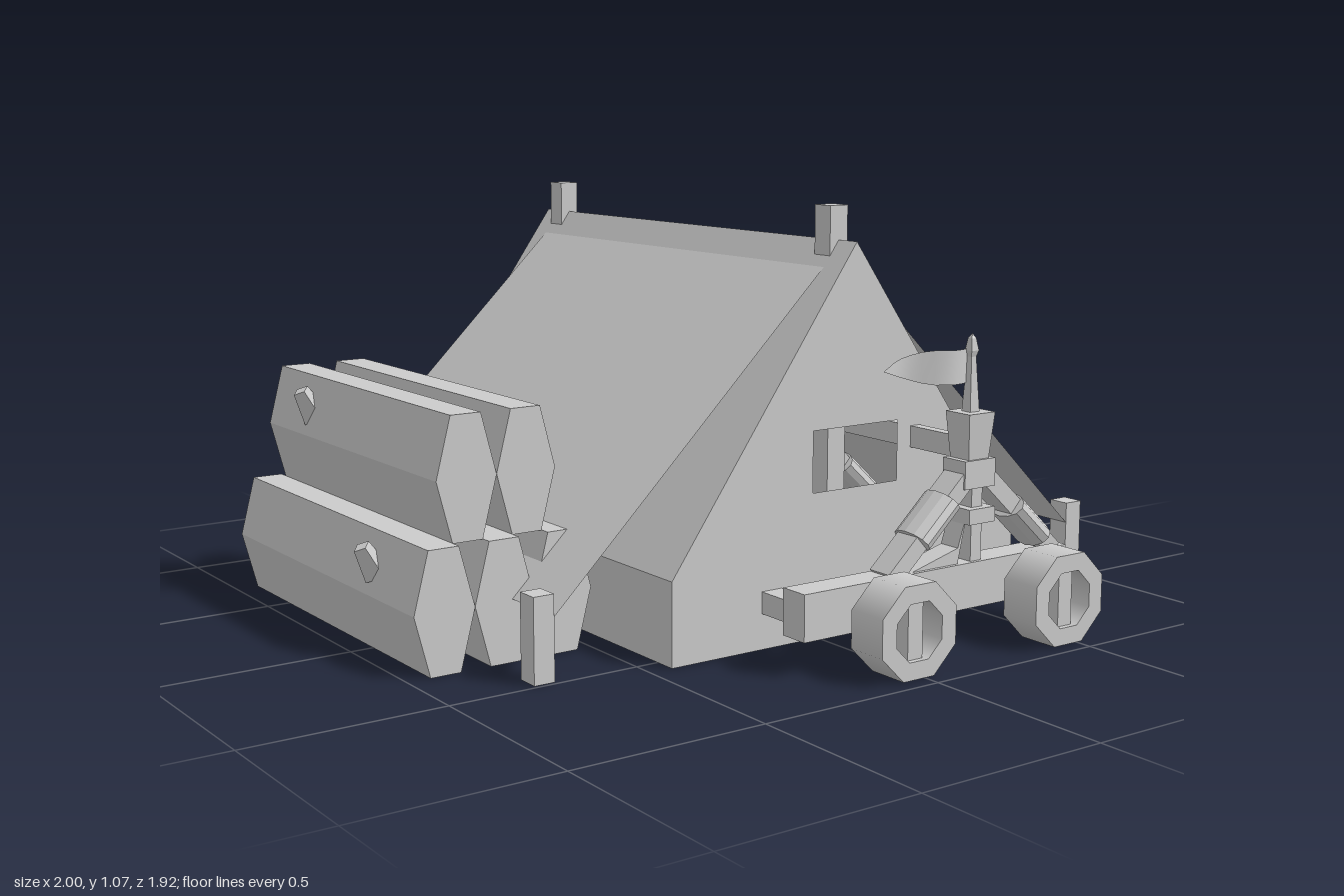
import * as THREE from 'three';

const grey = new THREE.MeshStandardMaterial({ color: 0xcccccc, flatShading: true });
const cloth = new THREE.MeshStandardMaterial({ color: 0xcccccc, flatShading: true, side: THREE.DoubleSide });
const smooth = new THREE.MeshStandardMaterial({ color: 0xcccccc, side: THREE.DoubleSide });

function add(parent, name, geometry, material = grey) {
  const mesh = new THREE.Mesh(geometry, material);
  mesh.name = name;
  parent.add(mesh);
  return mesh;
}

function box(parent, name, w, h, d, x, y, z) {
  const mesh = add(parent, name, new THREE.BoxGeometry(w, h, d));
  mesh.position.set(x, y, z);
  return mesh;
}

// Triangle fan round the first corner
function fan(points) {
  const pos = [];
  for (let i = 1; i < points.length - 1; i++) pos.push(...points[0], ...points[i], ...points[i + 1]);
  const g = new THREE.BufferGeometry();
  g.setAttribute('position', new THREE.Float32BufferAttribute(pos, 3));
  g.computeVertexNormals();
  return g;
}

// Flat outline extruded along z, centred on z = 0
function prism(points, depth) {
  const shape = new THREE.Shape(points.map(p => new THREE.Vector2(...p)));
  return new THREE.ExtrudeGeometry(shape, { depth, bevelEnabled: false }).translate(0, 0, -depth / 2);
}

function makeTent() {
  const tent = new THREE.Group();
  tent.name = 'tent';
  tent.position.x = 0.11;
  const front = 0.56, back = -0.89;

  // Front wall with window
  const wall = new THREE.Shape([[-0.55, 0], [0.55, 0], [0.55, 0.21], [0, 0.98], [-0.55, 0.21]].map(p => new THREE.Vector2(...p)));
  wall.holes.push(new THREE.Path([[-0.13, 0.37], [-0.13, 0.525], [0.14, 0.525], [0.14, 0.37]].map(p => new THREE.Vector2(...p))));
  add(tent, 'frontWall', new THREE.ShapeGeometry(wall), cloth).position.z = front;

  for (const s of [-1, 1]) {
    const strip = (name, x0, y0, x1, y1, z0, z1) =>
      add(tent, name, fan([[s * x0, y0, z0], [s * x1, y1, z0], [s * x1, y1, z1], [s * x0, y0, z1]]), cloth);
    strip('roof', 0, 0.98, 0.55, 0.21, front, back);
    strip('sideWall', 0.55, 0.21, 0.55, 0, front, back);
    strip('flySheet', 0, 0.96, 0.83, 0.155, 0.49, -0.83);

    // Back wall and the folded door flap
    add(tent, 'backWall', fan([[0, 0.85, back], [0, 0.98, back], [s * 0.55, 0.21, back], [s * 0.55, 0, back], [s * 0.42, 0, back]]), cloth);
    add(tent, 'doorFlap', fan([[0, 0.85, back], [s * 0.42, 0, back], [s * 0.28, 0, -0.96], [s * 0.3, 0, back]]), cloth);
  }

  // Ridge poles and corner stakes
  for (const z of [0.46, -0.8]) {
    box(tent, 'ridgePole', 0.055, 1.065, 0.06, 0, 0.5325, z);
    for (const s of [-1, 1]) box(tent, 'stake', 0.055, 0.21, 0.06, s * 0.857, 0.105, z);
  }
  return tent;
}

function makeLogs() {
  const logs = new THREE.Group();
  logs.name = 'logPile';
  const section = [[-0.04, -0.152], [0.04, -0.152], [0.08, 0], [0.04, 0.152], [-0.04, 0.152], [-0.08, 0]];
  const rows = [
    { y: 0.152, length: 1.01, xs: [-0.9, -0.74, -0.58] },
    { y: 0.455, length: 0.95, xs: [-0.82, -0.66] },
  ];
  for (const { y, length, xs } of rows)
    for (const x of xs) add(logs, 'log', prism(section, length)).position.set(x, y, -0.205);

  // Branch stubs
  for (const [x, y, z, s] of [[-0.885, 0.535, -0.46, -1], [-0.595, 0.545, 0.055, 1], [-0.97, 0.235, 0.055, -1], [-0.52, 0.225, -0.46, 1]]) {
    const stub = add(logs, 'branchStub', new THREE.CylinderGeometry(0.022, 0.036, 0.085, 4));
    stub.position.set(x, y, z);
    stub.rotation.z = -s * 0.5;
  }
  return logs;
}

function makeWheel() {
  const wheel = new THREE.Group();
  wheel.name = 'wheel';
  const R = 0.122, r = 0.075, d = 0.11, turn = Math.PI / 8;
  for (const [name, radius] of [['tread', R], ['innerRim', r]]) {
    const g = new THREE.CylinderGeometry(radius, radius, d, 8, 1, true).rotateX(Math.PI / 2).rotateZ(turn);
    add(wheel, name, g, smooth);
  }
  for (const s of [-1, 1]) {
    const side = add(wheel, 'wheelSide', new THREE.RingGeometry(r, R, 8, 1, turn), cloth);
    side.position.z = s * d / 2;
  }
  box(wheel, 'spoke', 0.045, 0.145, 0.08, 0, 0, 0);
  return wheel;
}

// One side of the cart, centred on z = 0
function makeCartSide() {
  const side = new THREE.Group();
  side.name = 'cartSide';
  box(side, 'sideRail', 0.85, 0.115, 0.08, 0.19, 0.143, 0);
  for (const x of [-0.023, 0.465]) {
    const wheel = makeWheel();
    wheel.position.set(x, 0.115, 0.145);
    side.add(wheel);
  }

  // Sloping struts with round collars
  for (const [x0, x1, t] of [[0.04, 0.3, 0.52], [0.58, 0.32, 0.36]]) {
    const a = new THREE.Vector2(x0, 0.19), b = new THREE.Vector2(x1, 0.43), dir = b.clone().sub(a);
    const mid = a.clone().lerp(b, 0.5), at = a.clone().lerp(b, t);
    const angle = Math.atan2(dir.y, dir.x) - Math.PI / 2;
    box(side, 'strut', 0.045, dir.length(), 0.07, mid.x, mid.y, 0).rotation.z = angle;
    const collar = add(side, 'collar', new THREE.CylinderGeometry(0.058, 0.058, 0.13, 12).scale(0.62, 1, 1), grey);
    collar.position.set(at.x, at.y, 0);
    collar.rotation.z = angle;
  }

  // Central post, flared head and hanging block
  box(side, 'post', 0.035, 0.3, 0.06, 0.31, 0.3, 0);
  box(side, 'block', 0.085, 0.038, 0.1, 0.31, 0.317, 0);
  box(side, 'strutJoint', 0.1, 0.07, 0.08, 0.31, 0.42, 0);
  const head = add(side, 'postHead', new THREE.CylinderGeometry(0.06, 0.046, 0.12, 4, 1).rotateY(Math.PI / 4));
  head.position.set(0.31, 0.51, 0);
  add(side, 'foot', prism([[0.1, 0.2], [0.15, 0.145], [0.22, 0.145], [0.25, 0.2], [0.28, 0.33], [0.25, 0.24]], 0.06));
  return side;
}

function makeCart() {
  const cart = new THREE.Group();
  cart.name = 'cart';
  const middle = 0.43, reach = 0.33;
  for (const s of [-1, 1]) {
    const side = makeCartSide();
    side.position.z = middle + s * reach;
    if (s < 0) side.traverse(o => { if (o.name === 'wheel') o.position.z *= -1; });
    cart.add(side);
  }

  // Axles, floor beam and top beam between the sides
  for (const x of [-0.023, 0.465]) box(cart, 'axle', 0.06, 0.055, 0.95, x, 0.118, middle);
  box(cart, 'floorBeam', 0.06, 0.055, 0.66, -0.145, 0.118, middle);
  box(cart, 'topBeam', 0.03, 0.055, 0.66, 0.31, 0.478, middle);

  // Pennant on a pointed staff
  const staff = add(cart, 'flagStaff', new THREE.LatheGeometry(
    [[0.0, 0], [0.022, 0], [0.014, 0.1], [0.011, 0.14], [0.017, 0.155], [0.01, 0.185], [0, 0.197]].map(p => new THREE.Vector2(...p)), 4, Math.PI / 4));
  staff.position.set(0.31, 0.565, 0.76);
  const n = 10, flag = new THREE.PlaneGeometry(1, 1, n, 1), p = flag.attributes.position;
  for (let i = 0; i < p.count; i++) {
    const t = 0.5 - p.getX(i), up = p.getY(i);
    const half = t < 0.45 ? 0.084 : 0.084 * Math.max(0.02, (1 - t) / 0.55);
    p.setXYZ(i, 0.305 - 0.28 * t, 0.682 + up * half + 0.01 * t, 0.75 + 0.022 * Math.sin(t * 7));
  }
  flag.computeVertexNormals();
  add(cart, 'pennant', flag, smooth);
  return cart;
}

export function createModel() {
  const model = new THREE.Group();
  model.name = 'campsite';
  model.add(makeTent(), makeLogs(), makeCart());
  return model;
}
